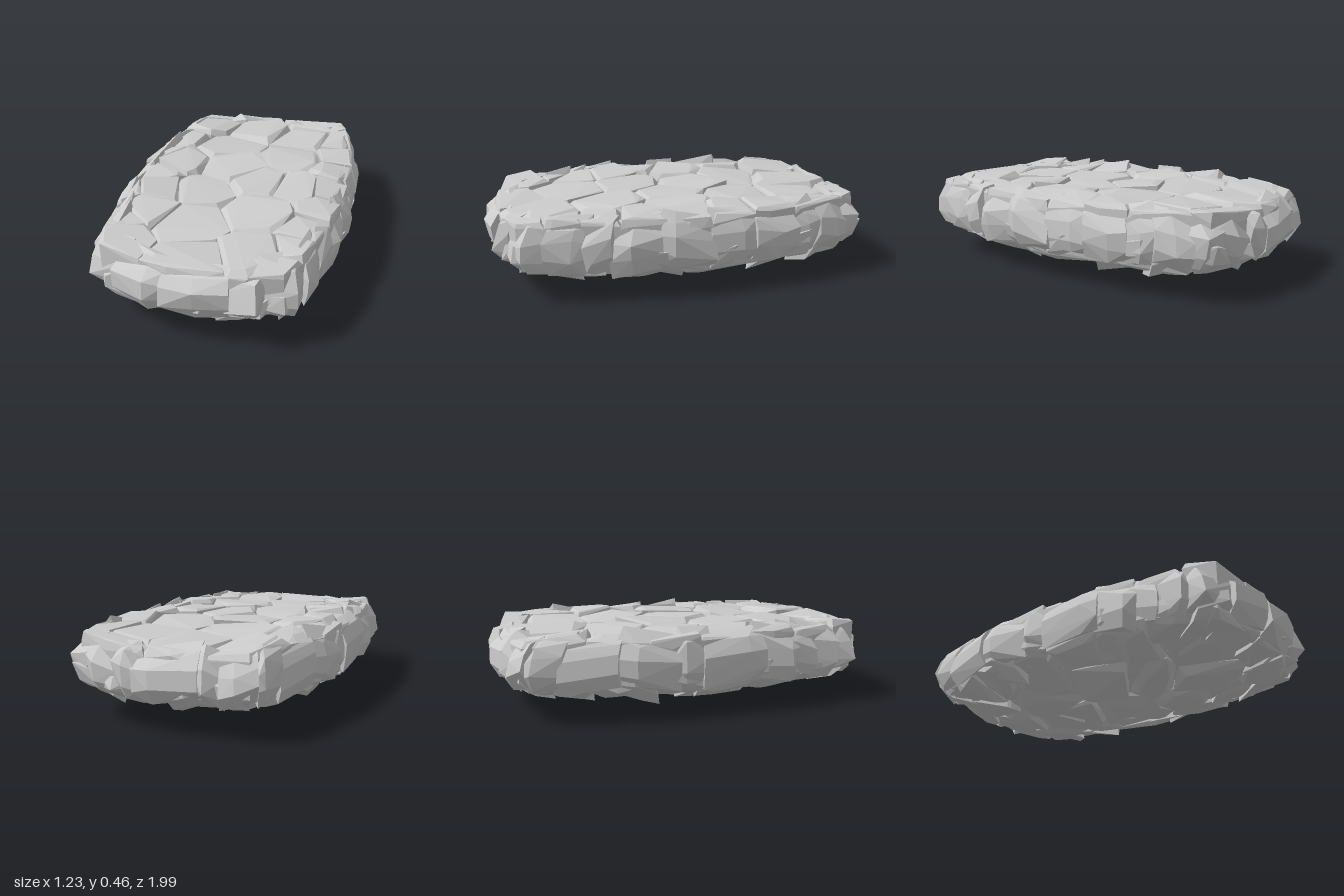
import * as THREE from 'three';
import { ConvexGeometry } from 'three/addons/geometries/ConvexGeometry.js';

// Small seeded generator, returns -1..1
let seed = 7;
const rnd = () => {
  seed = (seed * 16807) % 2147483647;
  return (seed / 2147483647) * 2 - 1;
};
const range = (a, b) => a + (b - a) * (rnd() * 0.5 + 0.5);
const toVectors = (list) => list.map(([x, z]) => new THREE.Vector2(x, z));

const material = new THREE.MeshStandardMaterial({ color: 0xcccccc, flatShading: true });

// Irregular outline in plan as [x, z]
const OUTLINE = toVectors([
  [0.615, 0], [0.6, 0.33], [0.55, 0.54], [0.515, 0.82], [0.43, 0.945], [0.2, 0.99],
  [-0.1, 0.995], [-0.47, 0.91], [-0.535, 0.8], [-0.535, 0.62], [-0.595, 0.4], [-0.61, 0],
  [-0.62, -0.25], [-0.6, -0.45], [-0.545, -0.63], [-0.53, -0.78], [-0.5, -0.93],
  [-0.2, -0.985], [-0.1, -1], [0.2, -0.99], [0.47, -0.92], [0.54, -0.7], [0.595, -0.4],
]);
const outline = (k, count) =>
  new THREE.Path([...OUTLINE, OUTLINE[0]].map((p) => p.clone().multiplyScalar(k)))
    .getSpacedPoints(count).slice(0, count);

// Top is raised along the middle of both sides and falls off at the very edge
const topY = (x, z) => {
  const a = Math.abs(x);
  return 0.412 + 0.035 * Math.min(1, (a / 0.42) ** 2) * (1 - 0.8 * z * z)
    - 0.35 * Math.max(0, a - 0.48) - 0.012 * z * z;
};
// Underside is a shallow bowl with straight flanks
const bottomY = (x, z) => {
  const s = (Math.abs(x / 0.61) ** 3 + Math.abs(z) ** 3) ** (1 / 3);
  return 0.015 + 0.13 * Math.max(0, (s - 0.28) / 0.65) ** 1.15;
};

// Voronoi cell: cut the border by the bisector towards every other site
function cell(site, sites, border) {
  let poly = border;
  for (const other of sites) {
    if (other === site) continue;
    const n = other.clone().sub(site);
    const d = n.dot(other.clone().add(site).multiplyScalar(0.5));
    const next = [];
    poly.forEach((p, i) => {
      const q = poly[(i + 1) % poly.length];
      const dp = p.dot(n) - d, dq = q.dot(n) - d;
      if (dp <= 0) next.push(p);
      if (dp * dq < 0) next.push(p.clone().lerp(q, dp / (dp - dq)));
    });
    poly = next;
  }
  return poly;
}

// Chipped stone on one cell; dir is 1 for the top, -1 for the underside.
// inset is the [min, max] share of the cell kept by the outer face.
function slabStone(poly, surface, dir, groove, inset, slope) {
  const mid = poly.reduce((s, p) => s.add(p), new THREE.Vector2()).divideScalar(poly.length);
  const tiltX = rnd() * slope, tiltZ = rnd() * slope, lift = rnd() * 0.01;
  const pts = [];
  const add = (p, k, depth) => {
    const q = mid.clone().lerp(p, k);
    const tilt = (q.x - mid.x) * tiltX + (q.y - mid.y) * tiltZ;
    const y = surface(q.x, q.y) + lift + tilt - dir * depth;
    pts.push(new THREE.Vector3(q.x, Math.max(0, y), q.y));
  };
  for (const p of poly) {
    add(p, range(...inset), range(-0.004, 0.012));
    add(p, 1.01, range(0.1, 1.1) * groove);
    add(p, 0.99, 0.15);
  }
  return new ConvexGeometry(pts);
}

// Boulder on the rim, centred on ring point i.
// levels are [share of the height between underside and top, outline scale]
function rimStone(ring, i, half, levels) {
  const n = ring.length, pts = [];
  const notch = range(0.01, 0.06), lean = rnd() * 0.1;
  for (const t of [-1.1, range(-0.6, 0.6), 1.1]) {
    const p = ring[(Math.round(i + t * half) + n) % n];
    const edge = Math.abs(t) > 1 ? notch : 0;
    for (const [share, k] of levels) {
      const s = k - edge + rnd() * 0.018;
      const x = p.x * s, z = p.y * s;
      const f = share + lean * t + rnd() * 0.06;
      pts.push(new THREE.Vector3(x, THREE.MathUtils.lerp(bottomY(x, z), topY(x, z), f), z));
    }
    pts.push(new THREE.Vector3(p.x * 0.75, 0.27, p.y * 0.84));
  }
  return new ConvexGeometry(pts);
}

export function createModel() {
  seed = 7;
  const model = new THREE.Group();
  model.name = 'rockSlab';
  const part = (name, geometry) => {
    const mesh = new THREE.Mesh(geometry, material);
    mesh.name = name;
    model.add(mesh);
  };
  const paving = (name, sites, border, ...options) => {
    for (const site of sites) {
      const poly = cell(site, sites, border);
      if (poly.length > 2) part(name, slabStone(poly, ...options));
    }
  };

  // Solid core that closes the grooves
  const corePts = [];
  for (const [k, y] of [[0.84, 0.365], [0.93, 0.29], [0.92, 0.2], [0.75, 0.14], [0.45, 0.07]]) {
    for (const p of outline(k, 28)) corePts.push(new THREE.Vector3(p.x, y, p.y));
  }
  part('core', new ConvexGeometry(corePts));

  // Large flat stones on the top, with smaller ones along the sides
  const topSites = toVectors([
    [-0.38, -0.74], [-0.08, -0.7], [0.24, -0.63], [0.3, -0.9], [0.47, -0.6], [0.24, -0.3],
    [-0.5, -0.4], [-0.2, -0.38], [-0.4, -0.13], [-0.08, -0.12], [0.12, 0.04], [0.33, 0.06],
    [-0.16, 0.2], [0.2, 0.37], [-0.13, 0.55], [-0.4, 0.78], [-0.03, 0.86], [0.27, 0.72],
    [0.5, -0.38], [0.52, -0.16], [0.5, 0.04], [0.52, 0.28], [0.47, 0.48], [0.45, 0.65], [0.44, 0.82],
    [-0.53, -0.2], [-0.5, 0.08], [-0.4, 0.28], [-0.53, 0.33], [-0.38, 0.46], [-0.48, 0.58],
  ]);
  paving('topStone', topSites, outline(0.94, 30), topY, 1, 0.05, [0.74, 0.96], 0.07);

  // Wedge-shaped broken stones on the underside
  const lowSites = [];
  for (let r = 0; r < 8; r++) {
    for (let c = 0; c < 4; c++) {
      lowSites.push(new THREE.Vector2(
        (c - 1.5 + (r % 2 ? 0.22 : -0.22)) * 0.29 + rnd() * 0.12,
        (r - 3.5) * 0.24 + rnd() * 0.11));
    }
  }
  paving('undersideStone', lowSites, outline(0.93, 24), bottomY, -1, 0.055, [0.2, 0.85], 0.09);

  // Two rings of unequal boulders around the rim
  const ring = outline(1, 240);
  const rim = (name, start, minHalf, maxHalf, levels) => {
    for (let i = start; i < start + 240;) {
      const half = range(minHalf, maxHalf);
      part(name, rimStone(ring, Math.round(i + half) % 240, half, levels));
      i += half * 2;
    }
  };
  rim('upperRimStone', 0, 2.5, 7, [[0.98, 0.88], [0.88, 0.95], [0.65, 0.995], [0.3, 0.995], [0.08, 0.95]]);
  rim('lowerRimStone', 4, 3.5, 8, [[0.45, 0.975], [0.18, 0.965], [0.05, 0.91], [0.02, 0.8]]);
  return model;
}
